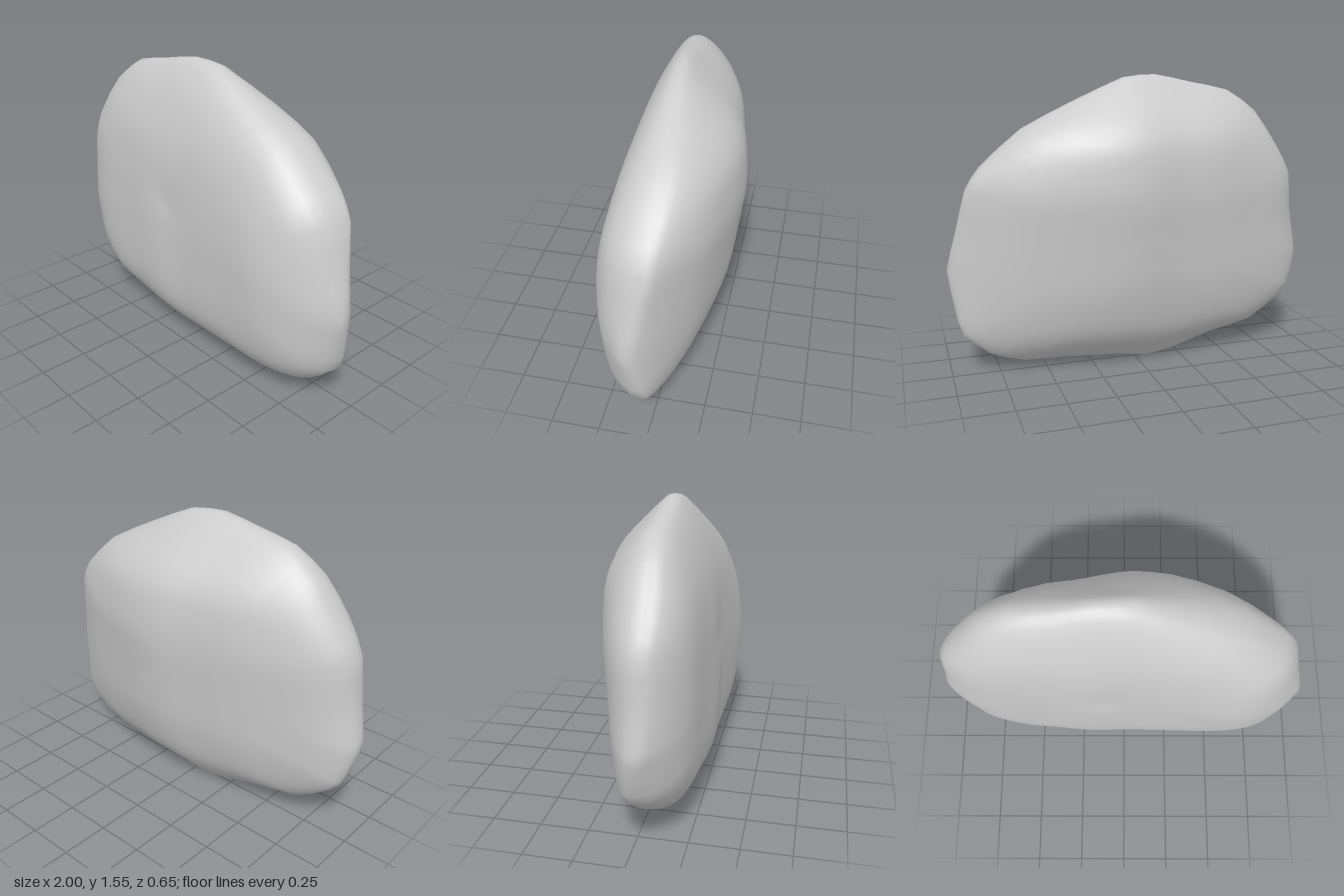
import * as THREE from 'three';

// Rim of the stone: x, y and the depth of its edge
const RIM = [
  [-0.13, 1.56, 0.04], [0.06, 1.545, 0.02], [0.33, 1.425, 0.02], [0.6, 1.29, 0.01], [0.82, 1.1, 0],
  [0.9, 0.98, 0], [0.95, 0.77, 0.05], [1, 0.56, 0.09], [0.975, 0.38, 0.06], [0.94, 0.22, 0.03],
  [0.8, 0.1, 0.03], [0.62, 0.04, 0.04], [0.4, 0.035, 0.04], [0.1, 0.02, 0.02], [-0.07, 0.005, -0.01],
  [-0.23, 0.03, 0], [-0.45, 0.09, 0.03], [-0.71, 0.14, 0.04], [-0.89, 0.27, 0.02], [-0.95, 0.35, 0.01],
  [-1, 0.52, 0.04], [-1, 0.6, 0.06], [-0.965, 0.8, 0.07], [-0.945, 1.01, 0.06], [-0.86, 1.16, 0.06],
  [-0.71, 1.365, 0.05], [-0.55, 1.475, 0.05], [-0.33, 1.52, 0.05],
];
// Depth limits of both faces, across x and up y (behind the centre for the back)
const FRONT_X = [[-1, 0.14], [-0.95, 0.19], [-0.75, 0.255], [-0.4, 0.275], [-0.2, 0.3], [0.03, 0.28], [0.4, 0.305], [0.6, 0.335], [0.75, 0.3], [0.9, 0.25], [1, 0.16]];
const FRONT_Y = [[0, 0.14], [0.07, 0.21], [0.13, 0.25], [0.2, 0.28], [0.4, 0.315], [0.7, 0.345], [0.9, 0.305], [1.2, 0.245], [1.4, 0.18], [1.56, 0.12]];
const BACK_X = [[-1, 0.08], [-0.95, 0.11], [-0.8, 0.15], [-0.6, 0.2], [-0.43, 0.25], [-0.2, 0.285], [0, 0.33], [0.15, 0.335], [0.3, 0.31], [0.6, 0.225], [0.8, 0.13], [0.95, 0.05], [1, 0.02]];
const BACK_Y = [[0, 0.04], [0.08, 0.12], [0.17, 0.19], [0.45, 0.265], [0.8, 0.31], [0.96, 0.33], [1.2, 0.31], [1.28, 0.28], [1.51, 0.09], [1.56, 0.04]];

function lerpTable(table, v) {
  if (v <= table[0][0]) return table[0][1];
  for (let i = 1; i < table.length; i++) {
    const [a, p] = table[i - 1], [b, q] = table[i];
    if (v <= b) return p + (q - p) * (v - a) / (b - a);
  }
  return table[table.length - 1][1];
}

// Averaging neighbours rounds off the kinks of the table
const profile = (table, v) =>
  [-0.06, -0.03, 0, 0.03, 0.06].reduce((sum, d) => sum + lerpTable(table, v + d), 0) / 5;

// The shallower of two depths, blended softly
function softMin(a, b) {
  const k = 0.04;
  return (a + b - Math.sqrt((a - b) ** 2 + k * k) + k * 0.7) / 2;
}

// The back is a smooth dome, the front a flatter plate with a small chip
function faceDepth(x, y, front) {
  if (!front) return -profile(BACK_X, x) * profile(BACK_Y, y) / 0.33;
  const chip = 0.015 * Math.exp(-((x + 0.1) ** 2 + (y - 0.85) ** 2) / 0.01);
  return softMin(profile(FRONT_X, x), profile(FRONT_Y, y)) - chip;
}

export function createModel() {
  const RINGS = 14, CX = 0, CY = 0.75, SEG = RIM.length * 2;
  const curve = new THREE.CatmullRomCurve3(RIM.map(p => new THREE.Vector3(...p)), true, 'catmullrom', 0.25);
  const rim = [];
  for (let i = 0; i < SEG; i++) rim.push(curve.getPoint(i / SEG));

  // Rings run from the front centre over the rim to the back centre
  const pos = [CX, CY, faceDepth(CX, CY, true)];
  for (let j = 1; j < 2 * RINGS; j++) {
    const front = j < RINGS;
    const t = Math.sin((j / RINGS) * Math.PI / 2);
    const swell = j === RINGS ? 0 : (1 - t ** 7) ** 0.43;
    for (const p of rim) {
      const x = CX + (p.x - CX) * t, y = CY + (p.y - CY) * t;
      pos.push(x, y, p.z + (faceDepth(x, y, front) - p.z) * swell);
    }
  }
  pos.push(CX, CY, faceDepth(CX, CY, false));

  // Rim runs clockwise seen from the front
  const index = [], last = pos.length / 3 - 1;
  const at = (j, i) => 1 + (j - 1) * SEG + i % SEG;
  for (let i = 0; i < SEG; i++) {
    index.push(0, at(1, i + 1), at(1, i));
    for (let j = 1; j < 2 * RINGS - 1; j++) {
      const a = at(j, i), b = at(j, i + 1), c = at(j + 1, i), d = at(j + 1, i + 1);
      index.push(a, b, c, b, d, c);
    }
    index.push(last, at(2 * RINGS - 1, i), at(2 * RINGS - 1, i + 1));
  }

  const geometry = new THREE.BufferGeometry();
  geometry.setAttribute('position', new THREE.Float32BufferAttribute(pos, 3));
  geometry.setIndex(index);
  geometry.computeVertexNormals();

  const stone = new THREE.Mesh(geometry, new THREE.MeshStandardMaterial({ color: 0xcccccc }));
  stone.name = 'stone';
  const group = new THREE.Group();
  group.name = 'rock';
  group.add(stone);
  return group;
}
